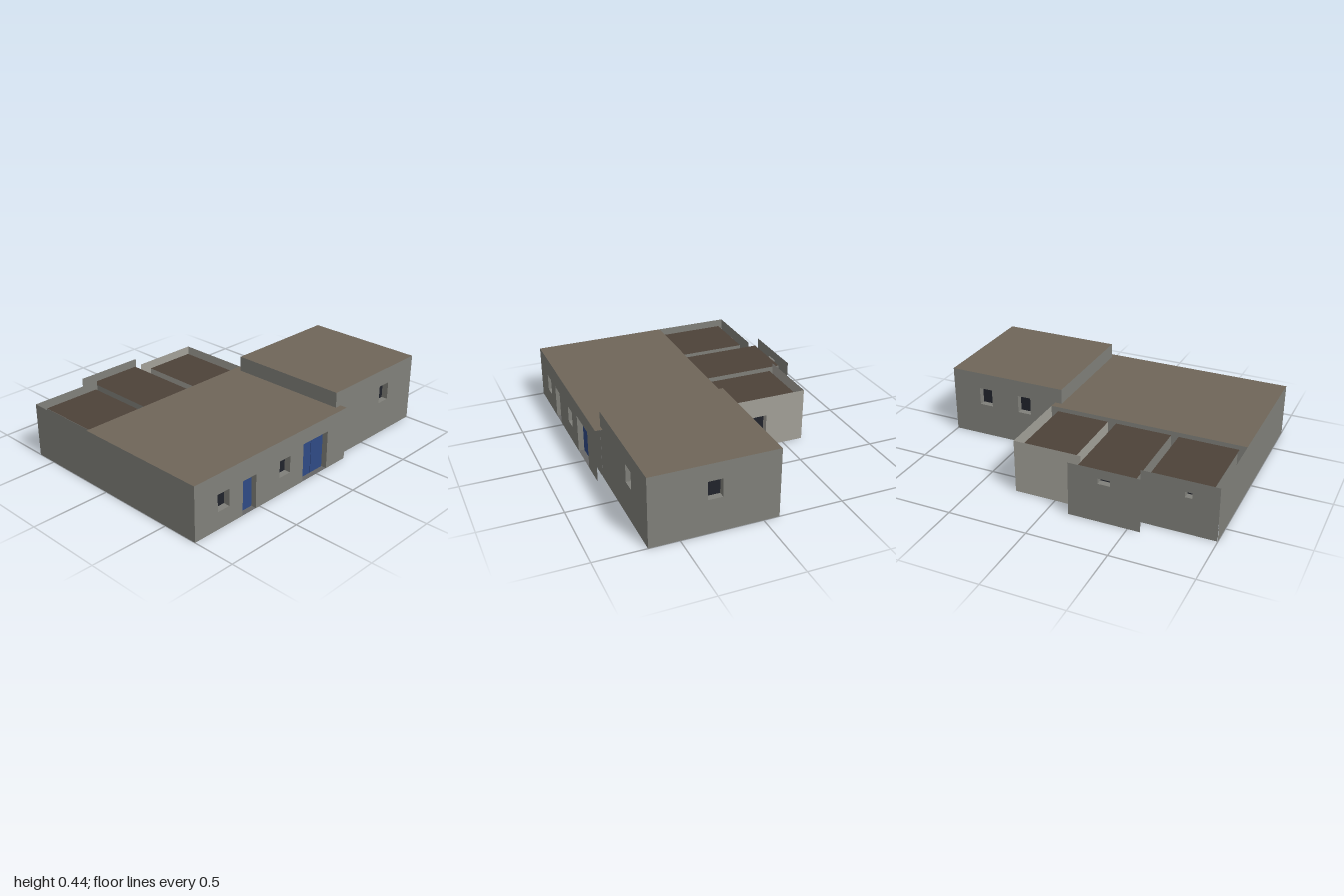
import * as THREE from 'three';

const mat = (color) => new THREE.MeshStandardMaterial({ color, side: THREE.DoubleSide });
const wallMat = mat(0x80807a), paleMat = mat(0xa2a098), roofMat = mat(0x6f6659), lowRoofMat = mat(0x4d4239);
const floorMat = mat(0x666666), darkFloorMat = mat(0x3d3b32), glassMat = mat(0x20232b), doorMat = mat(0x2f4a85);
const T = 0.045; // wall thickness

function add(parent, name, geo, material, x = 0, y = 0, z = 0) {
  const m = new THREE.Mesh(geo, material);
  m.name = name;
  m.position.set(x, y, z);
  parent.add(m);
  return m;
}

// Horizontal sheet used for roofs and floors
function slab(parent, name, x0, x1, z0, z1, y, material, up = true) {
  const g = new THREE.PlaneGeometry(x1 - x0, z1 - z0).rotateX(up ? -Math.PI / 2 : Math.PI / 2);
  add(parent, name, g, material, (x0 + x1) / 2, y, (z0 + z1) / 2);
}

// Wall skin with window holes and door notches
function skin(a, b, h, openings) {
  const s = new THREE.Shape();
  s.moveTo(a, 0);
  for (const o of openings.filter((o) => o.y0 === 0)) {
    s.lineTo(o.a, 0); s.lineTo(o.a, o.y1); s.lineTo(o.b, o.y1); s.lineTo(o.b, 0);
  }
  s.lineTo(b, 0); s.lineTo(b, h); s.lineTo(a, h); s.closePath();
  for (const o of openings.filter((o) => o.y0 > 0)) {
    const p = new THREE.Path();
    p.moveTo(o.a, o.y0); p.lineTo(o.a, o.y1); p.lineTo(o.b, o.y1); p.lineTo(o.b, o.y0);
    p.closePath();
    s.holes.push(p);
  }
  return new THREE.ShapeGeometry(s);
}

// Hollow wall: outer skin, inner skin, reveals and panes.
// Openings are [from, to, bottom, top, kind] in world units along the wall.
const FACING = { front: [0, 1], back: [Math.PI, -1], right: [Math.PI / 2, -1], left: [-Math.PI / 2, 1] };
function wall(parent, name, facing, at, p0, p1, h, innerH, openings = [], material = wallMat) {
  const g = new THREE.Group();
  g.name = name;
  const [ry, sign] = FACING[facing];
  g.rotation.y = ry;
  if (facing === 'front' || facing === 'back') g.position.z = at;
  else g.position.x = at;
  const span = (u, v) => (sign > 0 ? [u, v] : [-v, -u]);
  const [a, b] = span(p0, p1);
  const ops = openings.map(([u, v, y0, y1, kind]) => {
    const [oa, ob] = span(u, v);
    return { a: oa, b: ob, y0, y1, kind };
  }).sort((m, n) => m.a - n.a);
  add(g, 'outerSkin', skin(a, b, h, ops), material);
  add(g, 'innerSkin', skin(a + T, b - T, innerH, ops).rotateY(0), material, 0, 0, -T);
  for (const o of ops) {
    const w = o.b - o.a, oh = o.y1 - o.y0, cx = (o.a + o.b) / 2, cy = (o.y0 + o.y1) / 2;
    // Jambs, head and sill
    for (const [x, s] of [[o.a, 1], [o.b, -1]])
      add(g, 'jamb', new THREE.PlaneGeometry(T, oh).rotateY(s * Math.PI / 2), material, x, cy, -T / 2);
    add(g, 'head', new THREE.PlaneGeometry(w, T).rotateX(Math.PI / 2), material, cx, o.y1, -T / 2);
    add(g, 'sill', new THREE.PlaneGeometry(w, T).rotateX(-Math.PI / 2), o.y0 ? material : floorMat, cx, o.y0 + 0.001, -T / 2);
    // Glass or door leaves
    if (o.kind === 'window') add(g, 'windowPane', new THREE.PlaneGeometry(w, oh), glassMat, cx, cy, -T + 0.004);
    if (o.kind === 'door' || o.kind === 'doubleDoor') {
      const n = o.kind === 'door' ? 1 : 2, lw = w / n;
      for (let i = 0; i < n; i++)
        add(g, 'doorLeaf', new THREE.BoxGeometry(lw - (n - 1) * 0.004, oh - 0.002, 0.006), doorMat,
          o.a + (i + 0.5) * lw, cy, -T + 0.007);
    }
  }
  parent.add(g);
}

export function createModel() {
  const model = new THREE.Group();
  model.name = 'building';
  const part = (name) => {
    const g = new THREE.Group();
    g.name = name;
    model.add(g);
    return g;
  };
  const H = 0.343, H2 = 0.44, LOW = 0.315;

  // Main hall
  const hall = part('mainHall');
  wall(hall, 'frontWall', 'front', 0.73, -1, 0.262, H, H, [
    [-0.83, -0.742, 0.11, 0.218, 'window'],
    [-0.637, -0.53, 0, 0.218, 'door'],
    [-0.335, -0.245, 0.11, 0.218, 'window'],
    [-0.13, 0.09, 0, 0.248, 'doubleDoor'],
  ]);
  wall(hall, 'leftEndWall', 'left', -1, -0.148, 0.73, H, H);
  wall(hall, 'rearWall', 'back', -0.148, -1, 0.262, H, H, [
    [-0.82, -0.71, 0, 0.21, 'opening'],
    [-0.41, -0.30, 0, 0.21, 'opening'],
    [0.0, 0.11, 0, 0.21, 'opening'],
  ]);
  slab(hall, 'roof', -1, 0.262, -0.148, 0.73, H, roofMat);
  slab(hall, 'floor', -0.955, 0.217, -0.1, 0.685, 0.001, floorMat, false);

  // Taller side hall
  const side = part('sideHall');
  wall(side, 'frontWall', 'front', 0.684, 0.217, 1, H2, H2, [[0.66, 0.75, 0.217, 0.333, 'window']]);
  wall(side, 'outerEndWall', 'right', 1, -0.098, 0.684, H2, H2, [[0.25, 0.34, 0.217, 0.333, 'window']]);
  wall(side, 'rearWall', 'back', -0.098, 0.217, 1, H2, H2, [
    [0.44, 0.53, 0.217, 0.333, 'window'],
    [0.72, 0.81, 0.217, 0.333, 'window'],
  ]);
  wall(side, 'innerEndWall', 'left', 0.217, -0.098, 0.684, H2, H2, [[0.2, 0.31, 0, 0.21, 'opening']]);
  slab(side, 'roof', 0.217, 1, -0.098, 0.684, H2, roofMat);
  slab(side, 'floor', 0.262, 0.955, -0.053, 0.639, 0.001, roofMat, false);

  // Rear rooms: low roofs behind open-topped parapet walls
  const rooms = [
    { name: 'leftRearRoom', x0: -0.953, x1: -0.58, z: -0.59, m: wallMat, f: floorMat, win: [-0.84, -0.798, 0.235, 0.27, 'window'] },
    { name: 'middleRearRoom', x0: -0.533, x1: -0.177, z: -0.684, m: wallMat, f: floorMat, win: [-0.392, -0.317, 0.25, 0.285, 'window'] },
    { name: 'rightRearRoom', x0: -0.123, x1: 0.217, z: -0.59, m: paleMat, f: darkFloorMat },
  ];
  for (const r of rooms) {
    const g = part(r.name);
    wall(g, 'rearWall', 'back', r.z - T, r.x0 - T, r.x1 + T, H, LOW, r.win ? [r.win] : [], r.m);
    const depth = -0.148 - r.z;
    const partition = (x, s) => add(g, 'partition', new THREE.PlaneGeometry(depth, LOW).rotateY(s * Math.PI / 2),
      r.m, x, LOW / 2, r.z + depth / 2);
    if (r.x0 > -0.9) partition(r.x0, 1);
    if (r.x1 < 0.2) partition(r.x1, -1);
    slab(g, 'roof', r.x0, r.x1, r.z, -0.148, LOW, lowRoofMat);
    slab(g, 'floor', r.x0, r.x1, r.z, -0.148, 0.001, r.f, false);
  }
  wall(model.getObjectByName('leftRearRoom'), 'sideWall', 'left', -1, -0.635, -0.148, H, LOW);
  wall(model.getObjectByName('rightRearRoom'), 'sideWall', 'right', 0.262, -0.635, -0.148, H, LOW,
    [[-0.378, -0.287, 0.1, 0.217, 'window']], paleMat);
  return model;
}
